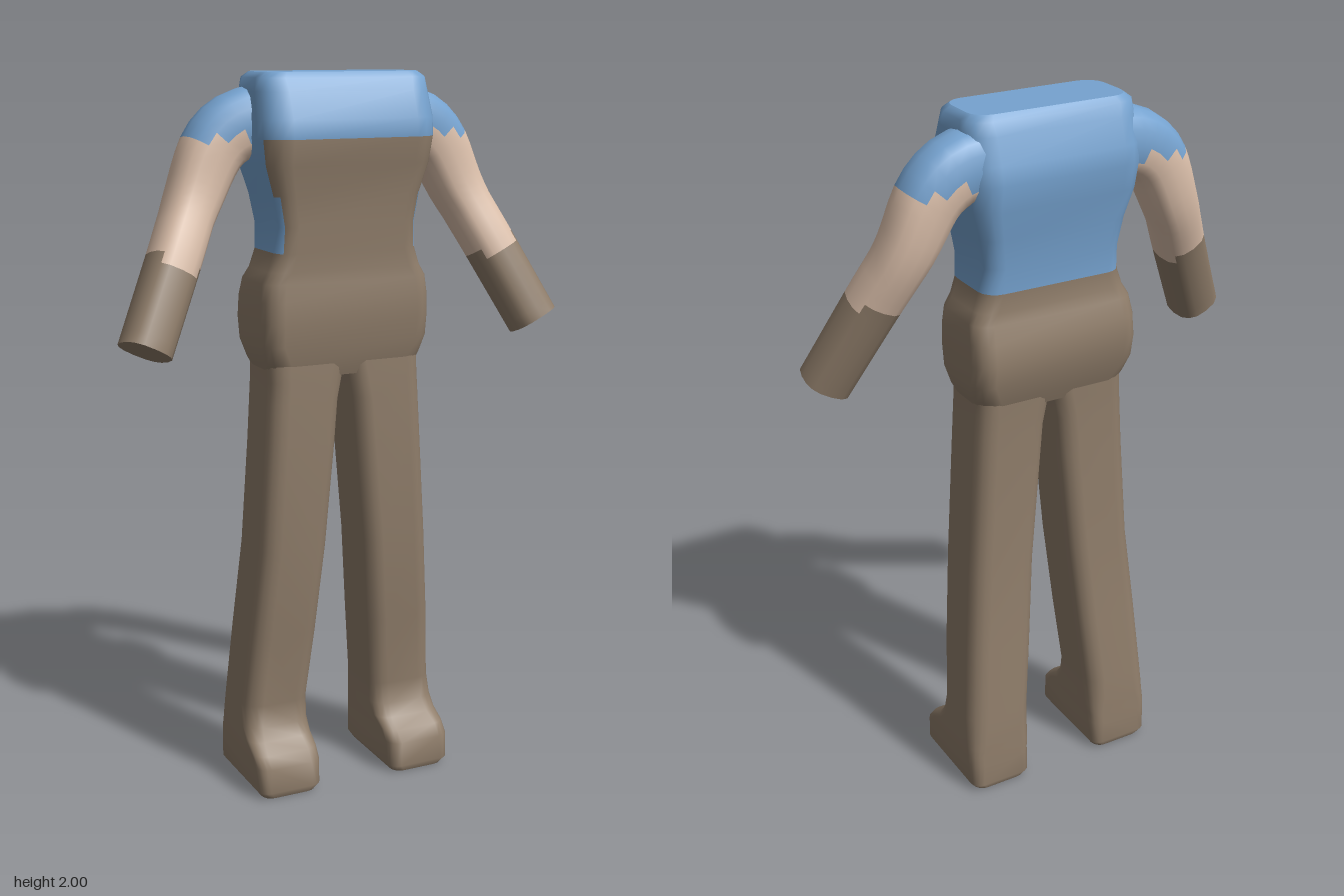
import * as THREE from 'three';

const mat = (name, color) => {
  const m = new THREE.MeshStandardMaterial({ color });
  m.name = name;
  return m;
};

// Rounded rectangle outline at height y, as a loop of points
function boxRing(y, x0, x1, z0, z1, r, seg = 4) {
  const pts = [];
  const corners = [[x1 - r, z1 - r], [x0 + r, z1 - r], [x0 + r, z0 + r], [x1 - r, z0 + r]];
  corners.forEach(([cx, cz], k) => {
    for (let i = 0; i <= seg; i++) {
      const a = (k + i / seg) * Math.PI / 2;
      pts.push(new THREE.Vector3(cx + r * Math.cos(a), y, cz + r * Math.sin(a)));
    }
  });
  return pts;
}

// Closed skin over a stack of rings; pick(centre) gives the material index of each face
function loft(name, rings, materials, pick = () => 0) {
  const n = rings[0].length;
  const verts = rings.flat().map((p) => p.clone());
  const tris = materials.map(() => []);
  const face = (a, b, c, m) => tris[m].push([a, b, c]);
  for (let j = 0; j < rings.length - 1; j++) {
    for (let i = 0; i < n; i++) {
      const a = j * n + i, b = j * n + (i + 1) % n, c = a + n, d = b + n;
      const mid = new THREE.Vector3();
      [a, b, c, d].forEach((k) => mid.addScaledVector(verts[k], 0.25));
      const m = pick(mid);
      face(a, c, b, m);
      face(b, c, d, m);
    }
  }
  // End caps with their own vertices, so their rims stay crisp
  [rings[0], rings[rings.length - 1]].forEach((ring, end) => {
    const mid = new THREE.Vector3();
    ring.forEach((p) => mid.addScaledVector(p, 1 / n));
    const m = pick(mid), base = verts.length;
    verts.push(mid, ...ring.map((p) => p.clone()));
    for (let i = 0; i < n; i++) {
      const a = base + 1 + i, b = base + 1 + (i + 1) % n;
      if (end) face(base, b, a, m); else face(base, a, b, m);
    }
  });
  // Turn every face outward if the skin came out inside-out
  let volume = 0;
  const cross = new THREE.Vector3();
  tris.flat().forEach(([a, b, c]) => {
    volume += verts[a].dot(cross.crossVectors(verts[b], verts[c]));
  });
  const geo = new THREE.BufferGeometry().setFromPoints(verts);
  const index = [];
  tris.forEach((list, m) => {
    if (list.length) geo.addGroup(index.length, list.length * 3, m);
    list.forEach(([a, b, c]) => (volume < 0 ? index.push(a, c, b) : index.push(a, b, c)));
  });
  geo.setIndex(index);
  geo.computeVertexNormals();
  const mesh = new THREE.Mesh(geo, materials);
  mesh.name = name;
  return mesh;
}

const mirror = (rings, s) => rings.map((r) => r.map((p) => new THREE.Vector3(p.x * s, p.y, p.z)));

export function createModel() {
  const brown = mat('brown cloth', 0x8f7d6a);
  const blue = mat('blue shirt', 0x76a3d0);
  const skin = mat('skin', 0xdcc0ab);
  const group = new THREE.Group();
  group.name = 'headlessFigure';

  // Torso: height, half width, back z, front z, corner radius
  const torso = [
    [1.19, 0.215, -0.105, 0.085, 0.06],
    [1.23, 0.235, -0.12, 0.097, 0.06],
    [1.28, 0.247, -0.135, 0.105, 0.05],
    [1.34, 0.248, -0.145, 0.112, 0.05],
    [1.40, 0.247, -0.138, 0.112, 0.05],
    [1.45, 0.242, -0.122, 0.107, 0.05],
    [1.48, 0.225, -0.114, 0.105, 0.05],
    [1.53, 0.208, -0.112, 0.106, 0.05],
    [1.60, 0.205, -0.118, 0.11, 0.05],
    [1.68, 0.22, -0.128, 0.114, 0.055],
    [1.76, 0.245, -0.145, 0.128, 0.065],
    [1.83, 0.255, -0.155, 0.14, 0.075],
    [1.88, 0.255, -0.15, 0.137, 0.075],
    [1.95, 0.25, -0.127, 0.11, 0.07],
    [1.985, 0.245, -0.115, 0.095, 0.06],
    [2.0, 0.225, -0.1, 0.08, 0.05],
  ].map(([y, w, z0, z1, r]) => boxRing(y, -w, w, z0, z1, r));
  group.add(loft('torso', torso, [brown, blue], (p) =>
    (p.y > 1.83 || (p.y > 1.53 && p.z < 0.092) ? 1 : 0)));

  // Leg with foot: height, inner x, outer x, back z, front z, corner radius
  const leg = [
    [0, 0.125, 0.285, -0.155, 0.145, 0.03],
    [0.02, 0.112, 0.3, -0.165, 0.155, 0.03],
    [0.09, 0.11, 0.302, -0.163, 0.152, 0.035],
    [0.12, 0.108, 0.302, -0.162, 0.125, 0.035],
    [0.145, 0.106, 0.301, -0.161, 0.085, 0.04],
    [0.18, 0.104, 0.3, -0.16, 0.06, 0.045],
    [0.24, 0.1, 0.297, -0.156, 0.05, 0.05],
    [0.45, 0.08, 0.28, -0.138, 0.073, 0.05],
    [0.7, 0.058, 0.257, -0.117, 0.095, 0.05],
    [1.0, 0.03, 0.237, -0.112, 0.098, 0.05],
    [1.12, 0.02, 0.23, -0.112, 0.097, 0.05],
    [1.18, 0.008, 0.226, -0.113, 0.097, 0.05],
    [1.25, -0.005, 0.225, -0.115, 0.095, 0.05],
  ].map(([y, x0, x1, z0, z1, r]) => boxRing(y, x0, x1, z0, z1, r));

  // Arm: rings swept along a bent path that swings forward to the hand
  const path = new THREE.CatmullRomCurve3([
    [0.18, 1.87, -0.05], [0.26, 1.86, -0.05], [0.325, 1.815, -0.05],
    [0.4, 1.67, -0.035], [0.475, 1.52, 0.018], [0.585, 1.3, 0.092],
  ].map((p) => new THREE.Vector3(...p)));
  const arm = [];
  const steps = 24, sides = 16;
  for (let j = 0; j <= steps; j++) {
    const t = j / steps;
    const c = path.getPointAt(t), dir = path.getTangentAt(t);
    const v = new THREE.Vector3(0, 0, 1).addScaledVector(dir, -dir.z).normalize();
    const u = new THREE.Vector3().crossVectors(v, dir);
    const ru = THREE.MathUtils.lerp(0.1, 0.07, Math.min(1, t * 2));
    const rv = THREE.MathUtils.lerp(0.085, 0.068, t);
    arm.push(Array.from({ length: sides }, (_, i) => {
      const a = (i / sides) * Math.PI * 2;
      const soft = (k) => Math.sign(k) * Math.abs(k) ** 0.8;
      return c.clone().addScaledVector(u, ru * soft(Math.cos(a))).addScaledVector(v, rv * soft(Math.sin(a)));
    }));
  }
  // Sleeve above, bare arm, then glove past the wrist plane
  const armColour = (p) => {
    if (p.y > 1.83) return 1;
    return (Math.abs(p.x) - 0.475) * 0.45 - (p.y - 1.515) * 0.89 > 0 ? 0 : 2;
  };

  for (const [side, s] of [['left', 1], ['right', -1]]) {
    group.add(loft(side + 'Leg', mirror(leg, s), [brown]));
    group.add(loft(side + 'Arm', mirror(arm, s), [brown, blue, skin], armColour));
  }
  return group;
}
